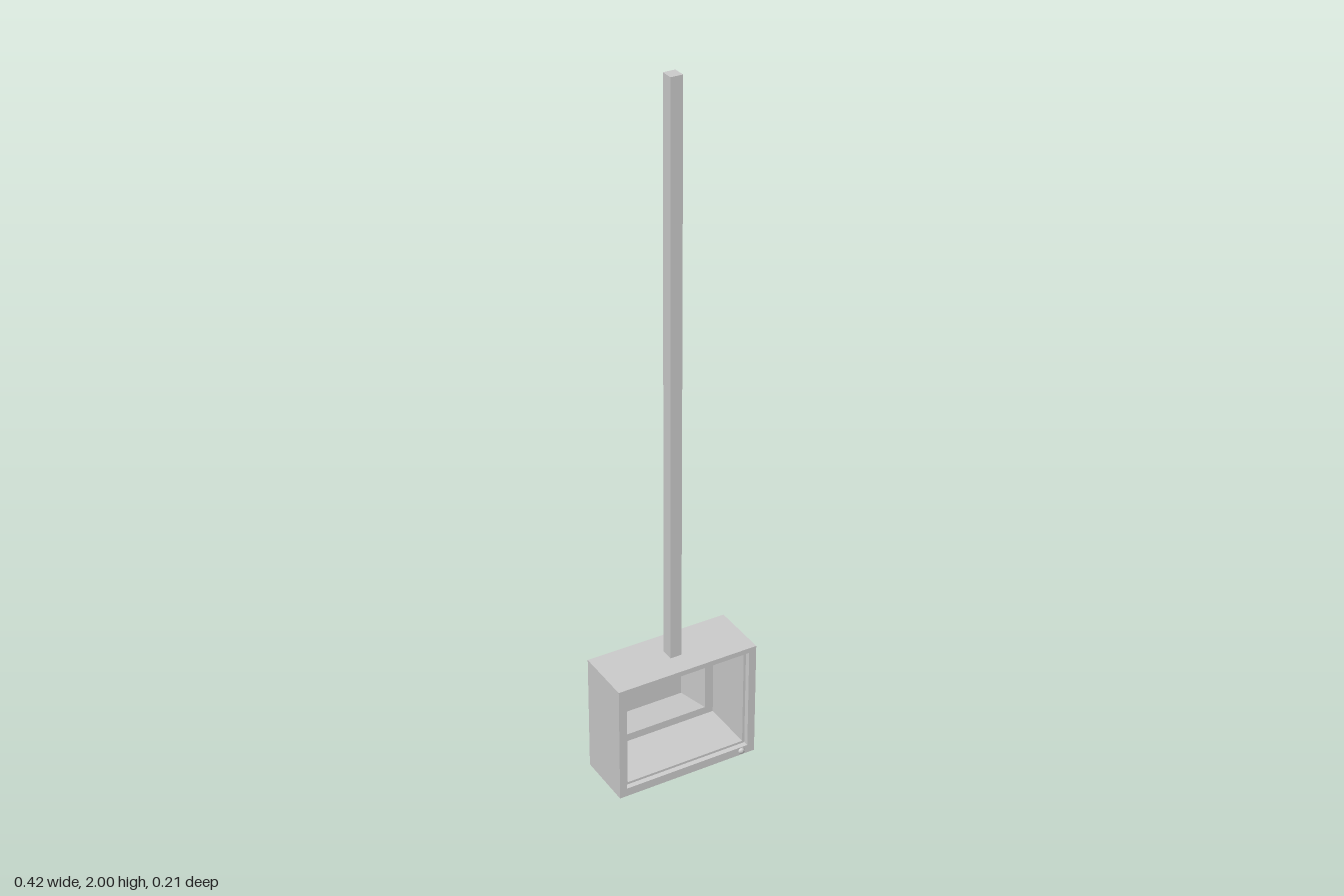
import * as THREE from 'three';

const material = new THREE.MeshStandardMaterial({ color: 0xcccccc, flatShading: true, side: THREE.DoubleSide });

// Skin a run of rectangular rings [halfWidth, bottom, top, z]; optionally cap the first ring
function rectLoft(rings, capFirst) {
  const pos = [];
  const corners = ([w, b, t, z]) => [[-w, b, z], [w, b, z], [w, t, z], [-w, t, z]];
  const quad = (a, b, c, d) => pos.push(...a, ...b, ...c, ...a, ...c, ...d);
  for (let i = 0; i < rings.length - 1; i++) {
    const p = corners(rings[i]), q = corners(rings[i + 1]);
    for (let k = 0; k < 4; k++) {
      const n = (k + 1) % 4;
      quad(p[k], p[n], q[n], q[k]);
    }
  }
  if (capFirst) {
    const [a, b, c, d] = corners(rings[0]);
    quad(d, c, b, a);
  }
  const geo = new THREE.BufferGeometry();
  geo.setAttribute('position', new THREE.Float32BufferAttribute(pos, 3));
  geo.computeVertexNormals();
  return geo;
}

export function createModel() {
  const model = new THREE.Group();
  const add = (name, geo, x = 0, y = 0, z = 0) => {
    const mesh = new THREE.Mesh(geo, material);
    mesh.name = name;
    mesh.position.set(x, y, z);
    model.add(mesh);
    return mesh;
  };

  // Hollow casing: tapered rear hump, back wall, outer sides, front frame
  add('casing', rectLoft([
    [0.098, 0.105, 0.263, -0.107],
    [0.154, 0.057, 0.305, -0.072],
    [0.211, 0.0, 0.35, -0.072],
    [0.211, 0.0, 0.35, 0.098],
    [0.189, 0.025, 0.335, 0.098],
  ], true));

  // Stepped lip and inner walls of the open front
  add('innerFrame', rectLoft([
    [0.189, 0.025, 0.335, 0.098],
    [0.187, 0.027, 0.333, 0.085],
    [0.18, 0.034, 0.327, 0.085],
    [0.18, 0.034, 0.327, -0.072],
  ], false));

  // Square hanging pole
  add('pole', new THREE.BoxGeometry(0.034, 1.65, 0.036), 0, 1.175, 0.014);

  // Small button low on the front frame
  const button = add('button', new THREE.SphereGeometry(0.01, 8, 6), 0.17, 0.013, 0.098);
  button.scale.z = 0.75;

  return model;
}
